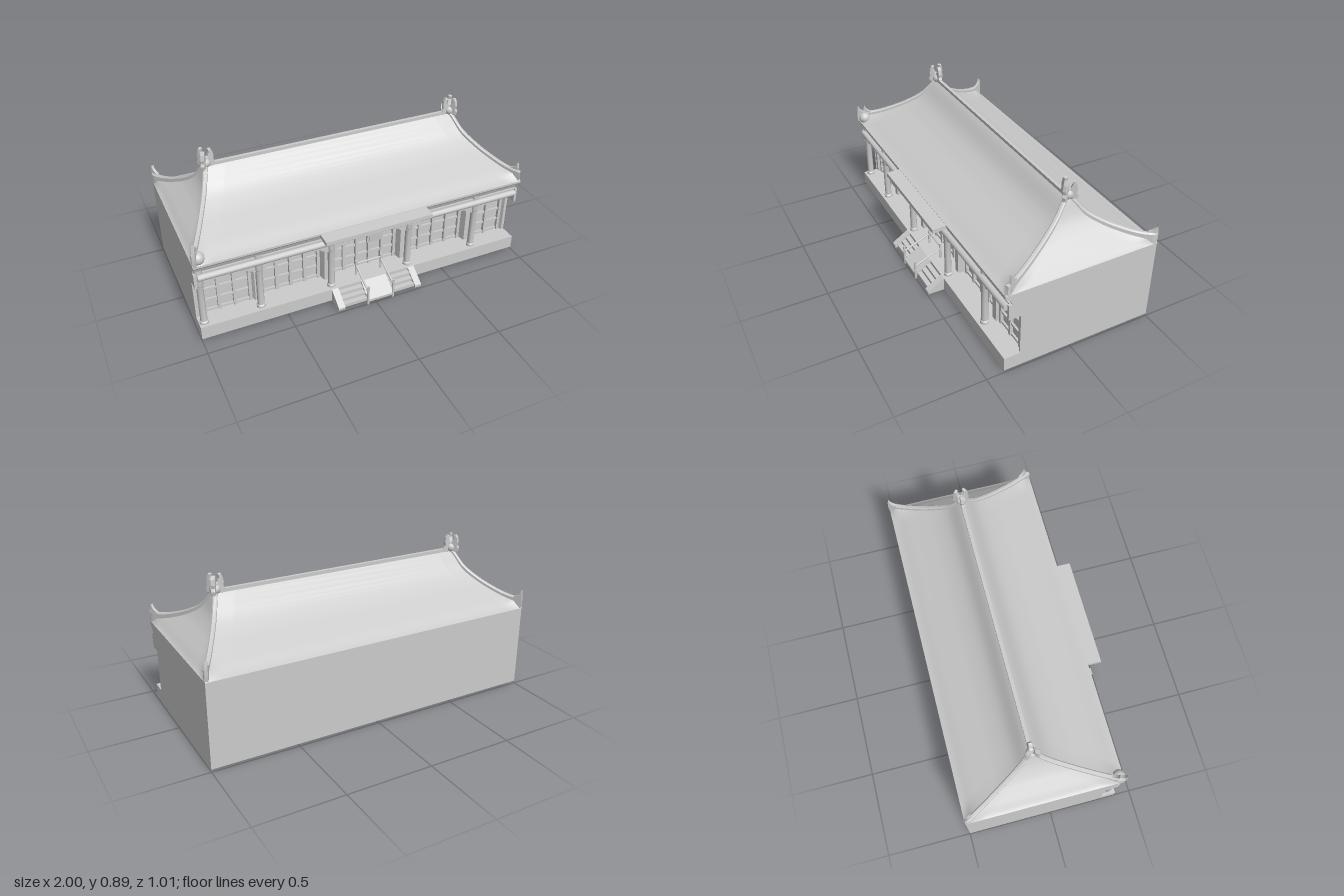
import * as THREE from 'three';
import { toCreasedNormals } from 'three/addons/utils/BufferGeometryUtils.js';

const mat = new THREE.MeshStandardMaterial({ color: 0xcccccc, side: THREE.DoubleSide });
const { lerp, clamp, smoothstep } = THREE.MathUtils;

export function createModel() {
  const root = new THREE.Group();
  const add = (name, geo, parent = root) => {
    const m = new THREE.Mesh(geo, mat);
    m.name = name;
    parent.add(m);
    return m;
  };
  const group = (name, parent = root) => {
    const g = new THREE.Group();
    g.name = name;
    parent.add(g);
    return g;
  };
  // box given by its limits
  const box = (name, x0, x1, y0, y1, z0, z1, parent) => {
    const m = add(name, new THREE.BoxGeometry(x1 - x0, y1 - y0, z1 - z0), parent);
    m.position.set((x0 + x1) / 2, (y0 + y1) / 2, (z0 + z1) / 2);
    return m;
  };
  // surface through rows of equally many points
  const loft = (rows, crease = 0.6) => {
    const pos = [], idx = [], n = rows[0].length;
    rows.forEach(r => r.forEach(p => pos.push(...p)));
    for (let i = 0; i < rows.length - 1; i++)
      for (let j = 0; j < n - 1; j++) {
        const a = i * n + j, b = a + n;
        idx.push(a, a + 1, b, b, a + 1, b + 1);
      }
    const g = new THREE.BufferGeometry();
    g.setAttribute('position', new THREE.Float32BufferAttribute(pos, 3));
    g.setIndex(idx);
    g.computeVertexNormals();
    return toCreasedNormals(g, crease);
  };
  // outline in (z, y), extruded along x from x0 to x1
  const extrudeX = (pts, x0, x1) => {
    const s = new THREE.Shape(pts.map(([z, y]) => new THREE.Vector2(-z, y)));
    return new THREE.ExtrudeGeometry(s, { depth: x1 - x0, bevelEnabled: false }).rotateY(Math.PI / 2).translate(x0, 0, 0);
  };
  // rod between two points
  const rod = (name, a, b, r, parent) => {
    const A = new THREE.Vector3(...a), B = new THREE.Vector3(...b);
    const m = add(name, new THREE.CylinderGeometry(r, r, A.distanceTo(B), 12), parent);
    m.position.copy(A).add(B).multiplyScalar(0.5);
    m.quaternion.setFromUnitVectors(new THREE.Vector3(0, 1, 0), B.sub(A).normalize());
    return m;
  };

  // hollow shell: side and back walls, open underneath
  add('outerWalls', loft([0.015, 0.505].map(y =>
    [[1, y, 0.31], [1, y, -0.5], [-1, y, -0.5], [-1, y, 0.31]])));
  add('platformFront', loft([0.015, 0.095].map(y => [[-1, y, 0.4], [1, y, 0.4]])));
  for (const s of [-1, 1]) add('platformEnd', loft([0.015, 0.095].map(y => [[s, y, 0.31], [s, y, 0.4]])));

  // bays: limits, panes across, depth of the recessed wall
  const bays = [[-0.96, -0.67, 3, 0.275], [-0.61, -0.25, 4, 0.25], [-0.19, 0.24, 5, 0.25], [0.3, 0.69, 4, 0.25], [0.75, 0.97, 2, 0.275]];

  // front wall folds back into each bay; the porch floor follows it
  const wallPath = [[-1, 0.305], ...bays.flatMap(([x0, x1, , z]) =>
    [[x0 - 0.012, 0.305], [x0, z], [x1, z], [x1 + 0.012, 0.305]]), [1, 0.305]];
  add('frontWall', loft([0.095, 0.44].map(y => wallPath.map(([x, z]) => [x, y, z])), 0.3));
  add('porchFloor', loft([wallPath.map(([x, z]) => [x, 0.095, z]), wallPath.map(([x]) => [x, 0.095, 0.4])]));

  // lattice windows
  for (const [x0, x1, n, z] of bays) {
    const g = group('latticeWindow');
    for (let i = 0; i <= n; i++) {
      const x = lerp(x0 + 0.01, x1 - 0.01, i / n);
      box('stile', x - 0.009, x + 0.009, 0.095, 0.385, z - 0.006, z + 0.018, g);
    }
    for (const y of [0.105, 0.175, 0.25, 0.32, 0.38])
      box('rail', x0, x1, y - 0.007, y + 0.007, z - 0.006, z + 0.012, g);
  }

  // columns on low bases
  const columnX = [-0.97, -0.645, -0.22, 0.27, 0.715];
  const columnProfile = [[0, 0.095], [0.025, 0.095], [0.025, 0.108], [0.02, 0.114], [0.019, 0.35], [0.022, 0.355], [0.022, 0.46]];
  for (const x of columnX)
    add('column', toCreasedNormals(new THREE.LatheGeometry(
      columnProfile.map(p => new THREE.Vector2(...p)), 16), 0.6)).position.set(x, 0, 0.36);

  // beams and stepped corner brackets
  rod('roundBeam', [-0.98, 0.416, 0.38], [0.98, 0.416, 0.38], 0.019);
  box('lintel', -0.98, 0.99, 0.385, 0.44, 0.345, 0.37);
  box('wallBeam', -1, 1, 0.38, 0.44, 0.298, 0.318);
  for (const x of columnX) for (const s of [-1, 1]) {
    if (x + s * 0.1 < -1) continue;
    const pts = [[0, 0.39], [0.11, 0.39], [0.1, 0.375], [0.07, 0.372], [0.06, 0.36], [0.04, 0.355], [0.03, 0.345], [0, 0.34]];
    const shape = new THREE.Shape(pts.map(([a, y]) => new THREE.Vector2(x + s * a, y)));
    add('bracket', new THREE.ExtrudeGeometry(shape, { depth: 0.018, bevelEnabled: false })).position.z = 0.35;
  }
  for (const [x0, x1] of [[-1, -0.985], [0.985, 1]]) box('beamEnd', x0, x1, 0.348, 0.44, 0.308, 0.38);

  // eave under the front edge of the roof
  add('frontEave', extrudeX([[0.298, 0.44], [0.36, 0.44], [0.37, 0.465], [0.4, 0.492], [0.4, 0.505], [0.298, 0.505]], -1, 1));

  // entrance canopy and plaque
  add('canopy', extrudeX([[0.37, 0.485], [0.47, 0.476], [0.48, 0.476], [0.48, 0.5], [0.4, 0.503], [0.37, 0.503]], -0.3, 0.35));
  add('canopySupport', extrudeX([[0.36, 0.455], [0.45, 0.45], [0.45, 0.485], [0.36, 0.49]], -0.24, 0.29));
  const plaque = group('plaque');
  plaque.position.set(0.025, 0.42, 0.405);
  plaque.rotation.x = 0.1;
  box('plaqueBoard', -0.047, 0.047, -0.055, 0.055, -0.007, 0.007, plaque);
  box('plaqueField', -0.035, 0.035, -0.042, 0.042, 0.005, 0.011, plaque);

  // stairs with sloping cheeks and a central ramp
  const stairs = group('stairs');
  const cheek = [[0.4, 0.015], [0.5, 0.015], [0.5, 0.03], [0.4, 0.095]];
  for (const x of [-0.235, 0.255]) add('cheek', extrudeX(cheek, x, x + 0.04), stairs);
  add('ramp', extrudeX(cheek, -0.05, 0.11), stairs);
  for (let i = 0; i < 3; i++)
    box('step', -0.2, 0.26, 0.015, 0.035 + i * 0.02, 0.4, 0.485 - i * 0.028, stairs);
  for (const x of [-0.05, 0.11]) {
    rod('lowerPost', [x, 0, 0.497], [x, 0.125, 0.497], 0.007, stairs);
    rod('upperPost', [x, 0.095, 0.332], [x, 0.195, 0.332], 0.007, stairs);
    rod('handrail', [x, 0.09, 0.497], [x, 0.162, 0.332], 0.006, stairs);
  }
  rod('crossRail', [-0.05, 0.175, 0.332], [0.11, 0.175, 0.332], 0.005, stairs);

  // concave hipped roof: heights of the slopes and of the hip ridges, eave to top
  const curve = (...ys) => {
    const c = new THREE.SplineCurve(ys.map((y, i) => new THREE.Vector2(i, y)));
    return t => c.getPoint(t).y;
  };
  const slopeY = curve(0.505, 0.545, 0.585, 0.628, 0.69, 0.795);
  const hipY = curve(0.568, 0.578, 0.608, 0.65, 0.71, 0.81);
  const N = 24, ts = Array.from({ length: N + 1 }, (_, i) => i / N);
  const corner = (sx, sz, t) => [sx * lerp(1, 0.765, t), slopeY(t), lerp(sz > 0 ? 0.4 : -0.505, -0.08, t)];
  // the slopes sweep up towards the hips
  const slopeRow = (a, b, t) => {
    const A = new THREE.Vector3(...corner(...a, t)), B = new THREE.Vector3(...corner(...b, t));
    const rise = Math.max(hipY(t) - 0.018 - slopeY(t), 0) * smoothstep(t, 0, 0.1);
    const reach = 0.11 / Math.max(A.distanceTo(B), 0.22);
    return [0, 0.2, 0.4, 0.6, 0.8, 1, -1, -0.8, -0.6, -0.4, -0.2, 0].map((k, i) => {
      const p = A.clone().lerp(B, i < 6 ? k * reach : 1 + k * reach);
      return [p.x, p.y + rise * (1 - Math.abs(k)) ** 2, p.z];
    });
  };
  const roof = group('roof');
  for (const [a, b] of [[[-1, 1], [1, 1]], [[1, 1], [1, -1]], [[1, -1], [-1, -1]], [[-1, -1], [-1, 1]]])
    add('roofSlope', loft(ts.map(t => slopeRow(a, b, t)), 1), roof);

  // hip ridges follow the corners
  for (const sx of [-1, 1]) for (const sz of [-1, 1]) {
    const rows = ts.map(t => {
      const u = lerp(0.015, 0.97, t), [x, y, z] = corner(sx, sz, u);
      const top = hipY(u), wx = 0.011, wz = 0.006 * sx * sz;
      return [[-1, y - 0.005], [-1, top - 0.007], [-0.5, top], [0.5, top], [1, top - 0.007], [1, y - 0.005]]
        .map(([k, h]) => [clamp(x + k * wx, -1, 1), h, z - k * wz]);
    });
    add('hipRidge', loft(rows), roof);
    const end = rows[0];
    add('hipRidgeEnd', loft([[end[0], end[1], end[2]], [end[5], end[4], end[3]]]), roof);
  }
  box('mainRidge', -0.77, 0.77, 0.78, 0.806, -0.09, -0.07, roof);

  // ridge finial: three horns, each outline drawn outward from the centre
  const hornPts = [[-0.01, 0], [0.046, 0], [0.05, 0.02], [0.042, 0.035], [0.046, 0.055], [0.04, 0.085], [0.032, 0.1],
    [0.022, 0.098], [0.025, 0.08], [0.015, 0.055], [-0.01, 0.048]];
  const horn = new THREE.ExtrudeGeometry(new THREE.Shape(hornPts.map(p => new THREE.Vector2(...p))),
    { depth: 0.014, bevelEnabled: true, bevelSize: 0.003, bevelThickness: 0.004, bevelSegments: 2 }).translate(0, 0, -0.007);
  for (const s of [-1, 1]) {
    const g = group('ridgeFinial', roof);
    g.position.set(s * 0.768, 0.788, -0.08);
    for (const a of [Math.PI, 1, -1]) add('horn', horn, g).rotation.y = s > 0 ? a : a + Math.PI;
    add('finialBase', new THREE.SphereGeometry(0.03, 14, 10), g).position.y = 0.02;
  }

  // corner tips, with a larger curled one at the right front corner
  const tip = new THREE.Shape();
  tip.moveTo(-0.035, 0);
  tip.lineTo(0.012, 0);
  tip.quadraticCurveTo(0.02, 0.05, 0.008, 0.108);
  tip.quadraticCurveTo(0, 0.075, -0.035, 0.066);
  const tipGeo = new THREE.ExtrudeGeometry(tip, { depth: 0.016, bevelEnabled: false }).translate(0, 0, -0.008);
  for (const [x, z, angle] of [[0.985, -0.492, 1.1], [-0.985, -0.492, 2.04], [0.985, 0.36, -1.1],
    [-0.985, 0.395, -2.04], [-0.975, 0.355, -2.04]]) {
    const m = add('cornerTip', tipGeo, roof);
    m.position.set(x, 0.508, z);
    m.rotation.y = angle;
  }
  const curl = add('cornerCurl', new THREE.SphereGeometry(0.036, 20, 14), roof);
  curl.position.set(-0.964, 0.535, 0.37);
  return root;
}
